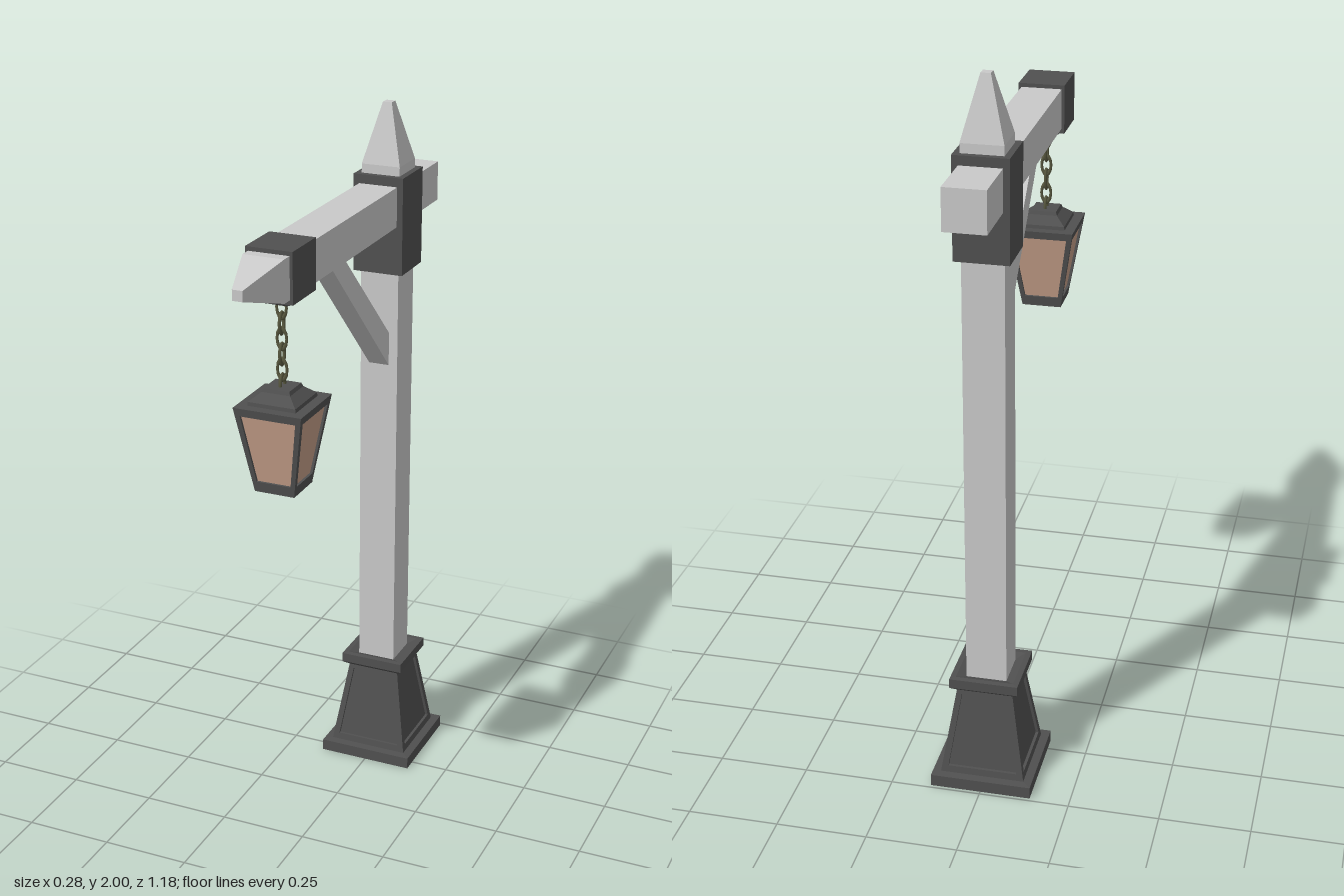
import * as THREE from 'three';

const timber = new THREE.MeshStandardMaterial({ color: 0xc9c9c9 });
const iron = new THREE.MeshStandardMaterial({ color: 0x505050 });
const glass = new THREE.MeshStandardMaterial({ color: 0xc49e88 });
const chainMetal = new THREE.MeshStandardMaterial({ color: 0x58583f });
timber.name = 'timber';
iron.name = 'iron';
glass.name = 'amberGlass';
chainMetal.name = 'chainMetal';

const POST_Z = -0.35, LAMP_Z = 0.346, BEAM_Y = 1.728;

function add(parent, name, geometry, material, x = 0, y = 0, z = 0) {
  const mesh = new THREE.Mesh(geometry, material);
  mesh.name = name;
  mesh.position.set(x, y, z);
  parent.add(mesh);
  return mesh;
}

// Square-section solid from [y, halfWidth] pairs, bottom to top, with hard edges
function squareLoft(profile) {
  const full = [[profile[0][0], 0], ...profile, [profile[profile.length - 1][0], 0]];
  const points = full.map(([y, h]) => new THREE.Vector2(h * Math.SQRT2, y));
  const geometry = new THREE.LatheGeometry(points, 4, Math.PI / 4).toNonIndexed();
  geometry.computeVertexNormals();
  return geometry;
}

function quads(list) {
  const positions = [];
  for (const [a, b, c, d] of list) for (const p of [a, b, c, a, c, d]) positions.push(p.x, p.y, p.z);
  const geometry = new THREE.BufferGeometry();
  geometry.setAttribute('position', new THREE.Float32BufferAttribute(positions, 3));
  geometry.computeVertexNormals();
  return geometry;
}

// Tapered square body whose four sides each hold a recessed panel.
// outer and inner are [y0, half0, y1, half1]
function panelledBody(parent, name, outer, inner, depth, panelMaterial, z) {
  const [y0, h0, y1, h1] = outer;
  const wall = (y) => h0 + (h1 - h0) * (y - y0) / (y1 - y0);
  const corners = ([ya, ha, yb, hb], sink) => [
    [-ha, ya], [ha, ya], [hb, yb], [-hb, yb],
  ].map(([x, y]) => new THREE.Vector3(x, y, wall(y) - sink));
  const rim = corners(outer, 0), edge = corners(inner, 0), sunk = corners(inner, depth);
  const frameQuads = [];
  for (let i = 0; i < 4; i++) {
    const j = (i + 1) % 4;
    frameQuads.push([rim[i], rim[j], edge[j], edge[i]], [edge[i], edge[j], sunk[j], sunk[i]]);
  }
  const frame = quads(frameQuads), panel = quads([sunk]);
  for (let i = 0; i < 4; i++) {
    add(parent, name + 'Frame', frame, iron, 0, 0, z).rotation.y = i * Math.PI / 2;
    add(parent, name + 'Panel', panel, panelMaterial, 0, 0, z).rotation.y = i * Math.PI / 2;
  }
}

export function createModel() {
  const model = new THREE.Group();
  model.name = 'lampPost';

  // Iron base: foot, panelled taper and lipped top
  const base = new THREE.Group();
  base.name = 'base';
  model.add(base);
  add(base, 'foot', squareLoft([[0, 0.14], [0.034, 0.14], [0.036, 0.115]]), iron, 0, 0, POST_Z);
  panelledBody(base, 'base', [0.035, 0.117, 0.29, 0.077], [0.055, 0.096, 0.272, 0.064], 0.008, iron, POST_Z);
  add(base, 'baseLip', squareLoft([[0.284, 0.078], [0.293, 0.09], [0.298, 0.095], [0.325, 0.095], [0.326, 0.08], [0.316, 0.056]]),
    iron, 0, 0, POST_Z);

  // Post with pointed top, and the collar around the joint
  add(model, 'post', squareLoft([[0.3, 0.056], [1.835, 0.056], [2, 0.013]]), timber, 0, 0, POST_Z);
  add(model, 'postCollar', new THREE.BoxGeometry(0.146, 0.275, 0.146), iron, 0, 1.672, POST_Z);

  // Horizontal beam with a tapered front end
  add(model, 'beam', squareLoft([[-0.587, 0.056], [0.445, 0.056], [0.589, 0.014]]), timber, 0, BEAM_Y, 0)
    .rotation.x = Math.PI / 2;
  add(model, 'beamCollar', new THREE.BoxGeometry(0.128, 0.136, 0.138), iron, 0, 1.727, LAMP_Z);

  // Diagonal brace, drawn in z-y and extruded across x
  const braceShape = new THREE.Shape([
    [-0.3, 1.255], [0.125, 1.68], [0.04, 1.68], [-0.3, 1.352],
  ].map(([z, y]) => new THREE.Vector2(-z, y)));
  const braceGeometry = new THREE.ExtrudeGeometry(braceShape, { depth: 0.06, bevelEnabled: false });
  braceGeometry.translate(0, 0, -0.03).rotateY(Math.PI / 2);
  add(model, 'brace', braceGeometry, timber);

  // Stepped hanger plate and chain of alternating links
  add(model, 'hangerPlate', squareLoft([[1.641, 0.03], [1.648, 0.043], [1.662, 0.046]]), iron, 0, 0, LAMP_Z);
  const chain = new THREE.Group();
  chain.name = 'chain';
  model.add(chain);
  const link = new THREE.TorusGeometry(0.015, 0.0045, 6, 12);
  link.scale(0.9, 1.75, 1);
  for (let i = 0; i < 6; i++) {
    add(chain, 'chainLink', link, chainMetal, 0, 1.625 - i * 0.041, LAMP_Z).rotation.y = (i % 2) * Math.PI / 2;
  }

  // Lantern: stepped cap, glazed tapered body and floor
  const lantern = new THREE.Group();
  lantern.name = 'lantern';
  model.add(lantern);
  add(lantern, 'lanternCap', squareLoft([[1.37, 0.068], [1.386, 0.066], [1.408, 0.04], [1.418, 0.036]]), iron, 0, 0, LAMP_Z);
  add(lantern, 'lanternRoof', squareLoft([[1.366, 0.093], [1.376, 0.095]]), iron, 0, 0, LAMP_Z);
  panelledBody(lantern, 'lantern', [1.14, 0.056, 1.376, 0.095], [1.167, 0.048, 1.354, 0.077], 0.007, glass, LAMP_Z);
  add(lantern, 'lanternFloor', squareLoft([[1.138, 0.056], [1.148, 0.056]]), iron, 0, 0, LAMP_Z);

  return model;
}
